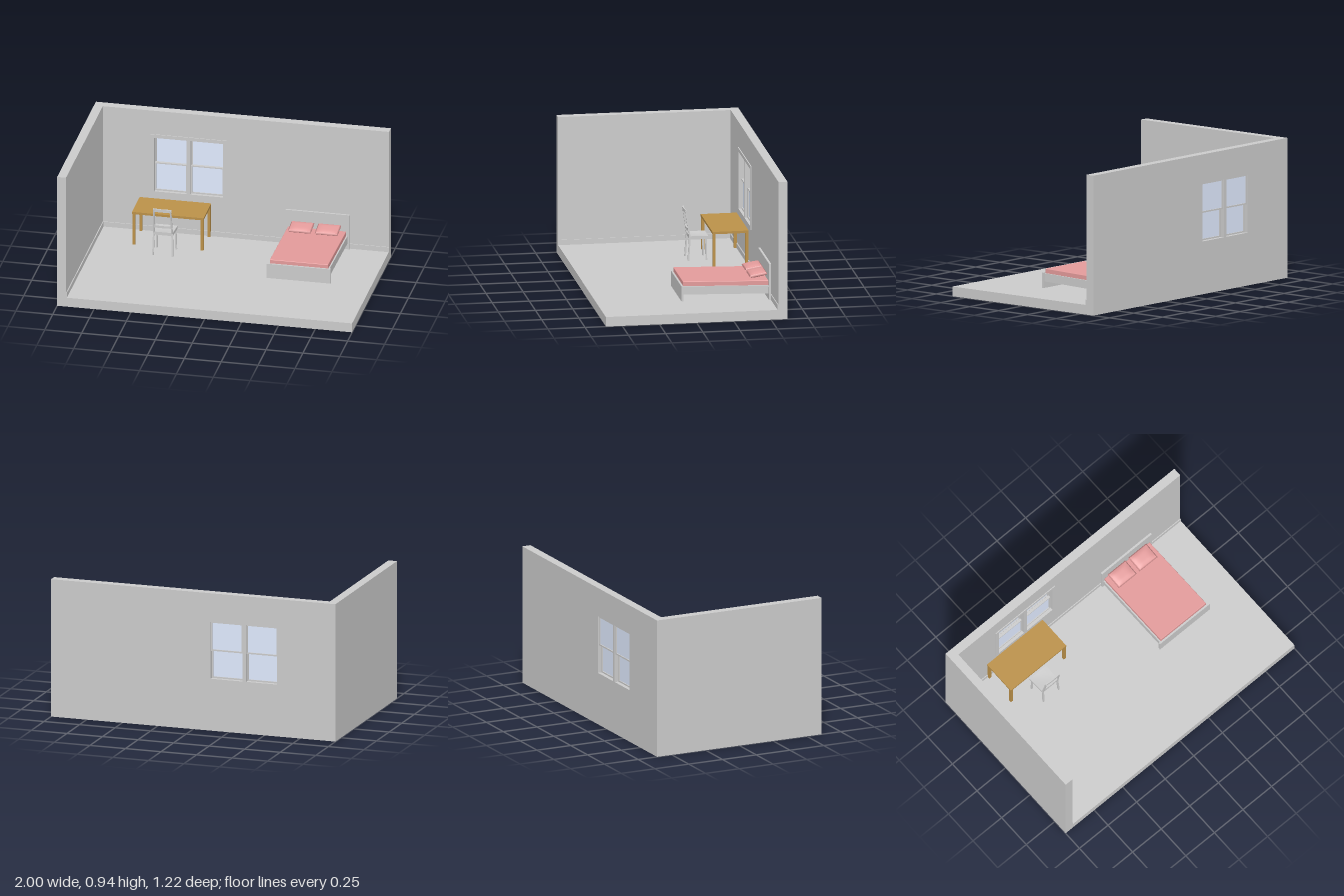
import * as THREE from 'three';
import { RoundedBoxGeometry } from 'three/addons/geometries/RoundedBoxGeometry.js';

const mat = (color) => new THREE.MeshStandardMaterial({ color });
const grey = mat(0xcccccc), wood = mat(0xbb9149), pink = mat(0xe39b9b), glass = mat(0xe0ebff);

function add(parent, name, geometry, material = grey) {
  const mesh = new THREE.Mesh(geometry, material);
  mesh.name = name;
  parent.add(mesh);
  return mesh;
}

function group(parent, name) {
  const g = new THREE.Group();
  g.name = name;
  parent.add(g);
  return g;
}

// Box given by its limits on each axis
function box(parent, name, [x0, x1], [y0, y1], [z0, z1], material) {
  const g = new THREE.BoxGeometry(x1 - x0, y1 - y0, z1 - z0);
  g.translate((x0 + x1) / 2, (y0 + y1) / 2, (z0 + z1) / 2);
  return add(parent, name, g, material);
}

// Square bar between two points
function bar(parent, name, from, to, width) {
  const a = new THREE.Vector3(...from), b = new THREE.Vector3(...to);
  const mesh = add(parent, name, new THREE.BoxGeometry(width, a.distanceTo(b), width));
  mesh.position.copy(a).add(b).multiplyScalar(0.5);
  mesh.quaternion.setFromUnitVectors(new THREE.Vector3(0, 1, 0), b.sub(a).normalize());
  return mesh;
}

// Rectangular panel with rectangular holes, between z0 and z1
function panel(parent, name, [x0, x1], [y0, y1], [z0, z1], holes) {
  const rect = (C, a, b, c, d) => {
    const s = new C();
    s.moveTo(a, c).lineTo(b, c).lineTo(b, d).lineTo(a, d).closePath();
    return s;
  };
  const shape = rect(THREE.Shape, x0, x1, y0, y1);
  for (const [hx, hy] of holes) shape.holes.push(rect(THREE.Path, ...hx, ...hy));
  const g = new THREE.ExtrudeGeometry(shape, { depth: z1 - z0, bevelEnabled: false });
  return add(parent, name, g.translate(0, 0, z0));
}

const windowY = [0.355, 0.745];
const bays = [[-0.59, -0.372], [-0.345, -0.123]];
const openings = bays.map((x) => [x, windowY]);

function buildRoom(root) {
  const room = group(root, 'room');
  box(room, 'floor', [-1, 1], [0, 0.065], [-0.61, 0.61]);
  box(room, 'sideWall', [-1, -0.94], [0.065, 0.94], [-0.55, 0.61]);
  panel(room, 'backWall', [-1, 1], [0.065, 0.94], [-0.61, -0.55], openings);
  box(room, 'sideBaseboard', [-0.94, -0.934], [0.065, 0.1], [-0.55, 0.61]);
  box(room, 'backBaseboard', [-0.934, 1], [0.065, 0.1], [-0.55, -0.544]);
}

function buildWindow(root) {
  const win = group(root, 'window');
  panel(win, 'windowTrim', [-0.615, -0.098], [0.333, 0.769], [-0.55, -0.544], openings);
  // Upper sashes sit outside, lower sashes inside
  const sashes = [['upperSash', [0.545, 0.745], -0.603], ['lowerSash', [0.355, 0.558], -0.583]];
  for (const [x0, x1] of bays) {
    for (const [name, [y0, y1], z] of sashes) {
      const px = [x0 + 0.008, x1 - 0.008], py = [y0 + 0.01, y1 - 0.008];
      panel(win, name, [x0, x1], [y0, y1], [z, z + 0.018], [[px, py]]);
      box(win, name + 'Glass', px, py, [z + 0.007, z + 0.011], glass);
    }
  }
}

function buildTable(root) {
  const table = group(root, 'table');
  box(table, 'tableTop', [-0.69, -0.205], [0.286, 0.302], [-0.549, -0.307], wood);
  for (const x of [-0.688, -0.226])
    for (const z of [-0.547, -0.328])
      box(table, 'tableLeg', [x, x + 0.019], [0.065, 0.286], [z, z + 0.019], wood);
}

// Rail bowed towards +z at its middle
function bowedRail(parent, name, width, y, height, z, bow) {
  const g = new THREE.BoxGeometry(width, height, 0.009, 8, 1, 1);
  const p = g.attributes.position;
  for (let i = 0; i < p.count; i++)
    p.setZ(i, p.getZ(i) + bow * (1 - (2 * p.getX(i) / width) ** 2));
  g.computeVertexNormals();
  add(parent, name, g).position.set(0, y, z);
}

function buildChair(root) {
  const chair = group(root, 'chair');
  chair.position.x = -0.453;
  // Seat narrows towards the back and dips slightly in the middle
  const seat = new THREE.BoxGeometry(0.145, 0.022, 0.125, 8, 1, 8);
  const p = seat.attributes.position;
  for (let i = 0; i < p.count; i++) {
    const u = p.getX(i) / 0.0725, v = p.getZ(i) / 0.0625;
    p.setX(i, p.getX(i) * (1 - 0.04 * (v + 1)));
    if (p.getY(i) > 0) p.setY(i, 0.011 - 0.005 * (1 - u * u) * (1 - v * v));
  }
  seat.computeVertexNormals();
  add(chair, 'chairSeat', seat).position.set(0, 0.221, -0.245);
  for (const s of [-1, 1]) {
    bar(chair, 'chairFrontLeg', [s * 0.066, 0.065, -0.295], [s * 0.062, 0.215, -0.292], 0.011);
    bar(chair, 'chairBackLeg', [s * 0.066, 0.065, -0.174], [s * 0.062, 0.225, -0.185], 0.011);
    bar(chair, 'chairBackPost', [s * 0.062, 0.215, -0.186], [s * 0.056, 0.405, -0.158], 0.01);
  }
  bowedRail(chair, 'chairTopRail', 0.125, 0.4, 0.02, -0.16, 0.005);
  bowedRail(chair, 'chairMiddleRail', 0.118, 0.276, 0.016, -0.177, 0.005);
}

// Cushion that thins towards its edges
function pillowGeometry(w, h, d) {
  const g = new THREE.BoxGeometry(w, h, d, 10, 2, 10);
  const p = g.attributes.position;
  for (let i = 0; i < p.count; i++) {
    const u = 2 * p.getX(i) / w, v = 2 * p.getZ(i) / d;
    if (Math.abs(p.getY(i)) < 1e-6) continue;
    p.setXYZ(i, p.getX(i) * 0.9, p.getY(i) * (0.5 + 0.5 * (1 - u ** 4) * (1 - v ** 4)), p.getZ(i) * 0.87);
  }
  g.computeVertexNormals();
  return g;
}

function buildBed(root) {
  const bed = group(root, 'bed');
  box(bed, 'headboard', [0.3, 0.735], [0.066, 0.314], [-0.544, -0.53]);
  box(bed, 'footboard', [0.3, 0.735], [0.081, 0.184], [0.045, 0.058]);
  // Bedding and rails slope gently down to the head
  const base = group(bed, 'bedBase');
  base.position.set(0.517, 0.16, -0.242);
  base.rotation.x = -0.027;
  for (const s of [-1, 1]) {
    const x = s * 0.2;
    box(base, 'sideRail', [x - 0.007, x + 0.007], [-0.043, 0.012], [-0.288, 0.288]);
  }
  box(base, 'slatBase', [-0.193, 0.193], [-0.016, 0.008], [-0.286, 0.286]);
  const mattress = new RoundedBoxGeometry(0.395, 0.036, 0.575, 2, 0.004);
  add(base, 'mattress', mattress, pink).position.y = 0.025;
  for (const x of [0.422, 0.604]) {
    const pillow = add(bed, 'pillow', pillowGeometry(0.156, 0.036, 0.118), pink);
    pillow.position.set(x, 0.224, -0.469);
    pillow.rotation.x = 0.17;
  }
}

export function createModel() {
  const root = new THREE.Group();
  root.name = 'bedroom';
  buildRoom(root);
  buildWindow(root);
  buildTable(root);
  buildChair(root);
  buildBed(root);
  return root;
}
